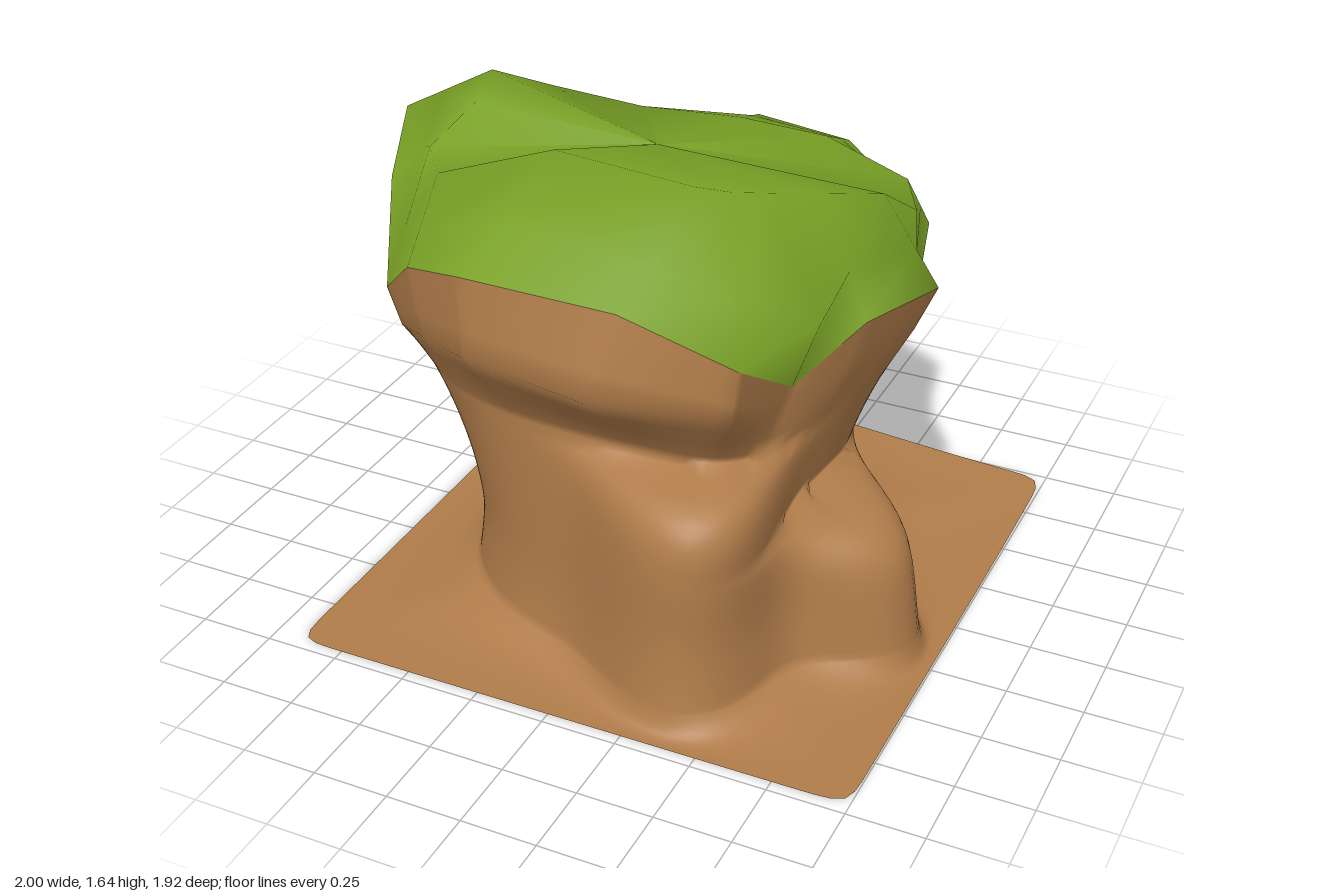
import * as THREE from 'three';

const rock = new THREE.MeshStandardMaterial({ color: 0xb07c4a, side: THREE.DoubleSide });
rock.name = 'brown rock';
const grass = new THREE.MeshStandardMaterial({ color: 0x789f25, side: THREE.DoubleSide });
grass.name = 'green grass';

const ring = (list) => list.map((p) => new THREE.Vector3(...p));

// Rings run from +x over the front (+z) to -x and the back
const neck = ring([
  [0.67, 0.83, -0.06], [0.6, 0.83, 0.2], [0.5, 0.79, 0.4], [0.39, 0.81, 0.56],
  [0.13, 0.83, 0.62], [-0.28, 0.84, 0.62], [-0.52, 0.84, 0.55], [-0.7, 0.82, 0.4],
  [-0.82, 0.84, 0.22], [-0.89, 0.85, -0.02], [-0.77, 0.84, -0.3], [-0.47, 0.82, -0.56],
  [0, 0.82, -0.77], [0.25, 0.8, -0.72], [0.42, 0.74, -0.58], [0.5, 0.62, -0.36],
]);
const bulge = ring([
  [0.77, 1.02, -0.08], [0.67, 1.0, 0.2], [0.52, 0.9, 0.4], [0.5, 1.05, 0.72],
  [0.1, 1.09, 0.865], [-0.33, 1.1, 0.8], [-0.57, 1.05, 0.65], [-0.76, 0.95, 0.46],
  [-0.88, 1.06, 0.24], [-0.98, 1.12, -0.03], [-0.87, 1.05, -0.3], [-0.61, 0.96, -0.5],
  [0, 1.09, -0.93], [0.28, 1.05, -0.81], [0.52, 0.9, -0.66], [0.57, 0.72, -0.45],
]);
const grassLine = ring([
  [0.84, 1.18, -0.08], [0.72, 1.18, 0.22], [0.55, 1.0, 0.38], [0.52, 1.22, 0.72],
  [0.17, 1.36, 0.79], [-0.35, 1.36, 0.78], [-0.61, 1.27, 0.64], [-0.8, 1.08, 0.47],
  [-0.89, 1.36, 0.26], [-1.0, 1.47, -0.03], [-0.89, 1.34, -0.31], [-0.62, 1.12, -0.51],
  [-0.08, 1.3, -0.82], [0.26, 1.27, -0.81], [0.58, 1.05, -0.75], [0.62, 0.82, -0.52],
]);
const crown = ring([
  [0.65, 1.46, -0.08], [0.52, 1.505, 0.08], [0.4, 1.545, 0.23], [0.32, 1.57, 0.32],
  [0.23, 1.6, 0.39], [-0.23, 1.63, 0.39], [-0.62, 1.49, 0.42], [-0.73, 1.5, 0.28],
  [-0.67, 1.59, 0.08], [-0.69, 1.64, -0.06], [-0.58, 1.53, -0.26], [-0.35, 1.42, -0.46],
  [-0.05, 1.38, -0.6], [0.25, 1.36, -0.62], [0.52, 1.23, -0.68], [0.64, 1.25, -0.43],
]);

const SUB = 10;
const COLS = neck.length * SUB;

// Closed ring sampled as a smooth curve or as straight edges
function smoothRing(points) {
  const curve = new THREE.CatmullRomCurve3(points, true);
  return Array.from({ length: COLS }, (_, j) => curve.getPoint(j / COLS));
}
function straightRing(points) {
  return Array.from({ length: COLS }, (_, j) => {
    const i = Math.floor(j / SUB);
    return points[i].clone().lerp(points[(i + 1) % points.length], (j % SUB) / SUB);
  });
}

// Skin over columns of points, closed around the axis
function skin(columns) {
  const rows = columns[0].length, n = columns.length;
  const geo = new THREE.BufferGeometry().setFromPoints(columns.flat());
  const index = [];
  for (let j = 0; j < n; j++) {
    const a = j * rows, b = ((j + 1) % n) * rows;
    for (let i = 0; i < rows - 1; i++) {
      index.push(a + i, a + i + 1, b + i, b + i, a + i + 1, b + i + 1);
    }
  }
  geo.setIndex(index);
  geo.computeVertexNormals();
  return geo;
}

// Two rounded lobes leaning on the pillar at the front left
const lobes = [
  { angle: 62, width: 22, depth: 0.31, top: 0.775, power: 10 },
  { angle: 14, width: 22, depth: 0.41, top: 0.52, power: 5 },
];
function lobePush(angle, y) {
  const deg = THREE.MathUtils.radToDeg(angle);
  let push = 0;
  for (const l of lobes) {
    const off = ((deg - l.angle + 540) % 360) - 180;
    const shelf = Math.sqrt(Math.max(0, 1 - (y / l.top) ** l.power));
    push += l.depth * Math.exp(-((off / l.width) ** 2)) * shelf;
  }
  return push;
}

// Distance from the axis to a rounded box outline
function outline(angle, right, left, front, back, power) {
  const c = Math.cos(angle), s = Math.sin(angle);
  const u = Math.abs(c) / (c > 0 ? right : left);
  const v = Math.abs(s) / (s > 0 ? front : back);
  return (u ** power + v ** power) ** (-1 / power);
}

function rockGeometry() {
  const necks = smoothRing(neck), bulges = straightRing(bulge), rims = straightRing(grassLine);
  const columns = necks.map((n, j) => {
    const angle = Math.atan2(n.z, n.x);
    const at = (r, y) => new THREE.Vector3(r * Math.cos(angle), y, r * Math.sin(angle));
    const back = Math.max(0, -Math.sin(angle)) ** 4;
    const waist = outline(angle, 0.51, 0.63, 0.65, 0.54, 2.2);
    const neckR = Math.hypot(n.x, n.z);
    const wall = (y) => {
      const f = Math.max(0, (y / n.y - 0.3) / 0.7) ** 1.7;
      const flare = (0.025 + 0.035 * back) * (Math.max(0, 0.38 - y) / 0.3) ** 2;
      return at(waist + (neckR - waist) * f + flare + lobePush(angle, y), y);
    };
    const column = [];
    // ground sheet, rising towards the pillar
    const footY = 0.08 + 0.14 * back, foot = wall(footY), footR = Math.hypot(foot.x, foot.z);
    const edgeR = outline(angle, 0.995, 0.91, 0.96, 0.96, 32), edgeY = 0.07 * back;
    for (let i = 0; i < 9; i++) {
      const s = 1 - (1 - i / 9) ** 1.6;
      column.push(at(edgeR + (footR - edgeR) * s, edgeY + (footY - edgeY) * s ** 4));
    }
    // pillar
    for (let i = 0; i < 34; i++) column.push(wall(footY + (n.y - footY) * (i / 34)));
    // overhang
    for (let i = 0; i < 3; i++) column.push(n.clone().lerp(bulges[j], i / 3));
    for (let i = 0; i <= 3; i++) column.push(bulges[j].clone().lerp(rims[j], i / 3));
    return column;
  });
  return skin(columns);
}

function capGeometry() {
  const centre = new THREE.Vector3(-0.15, 1.44, -0.16);
  const brim = grassLine.map((p, j) => p.clone().lerp(crown[j], 0.4));
  brim[2].set(0.64, 1.24, 0.4); // the brim overhangs its lowest front corner
  return skin(grassLine.map((p, j) => [p, brim[j], crown[j], centre]));
}

export function createModel() {
  const group = new THREE.Group();
  group.name = 'mushroomRock';
  const body = new THREE.Mesh(rockGeometry(), rock);
  body.name = 'rockPillarAndGround';
  const cap = new THREE.Mesh(capGeometry(), grass);
  cap.name = 'grassCap';
  group.add(body, cap);
  return group;
}
